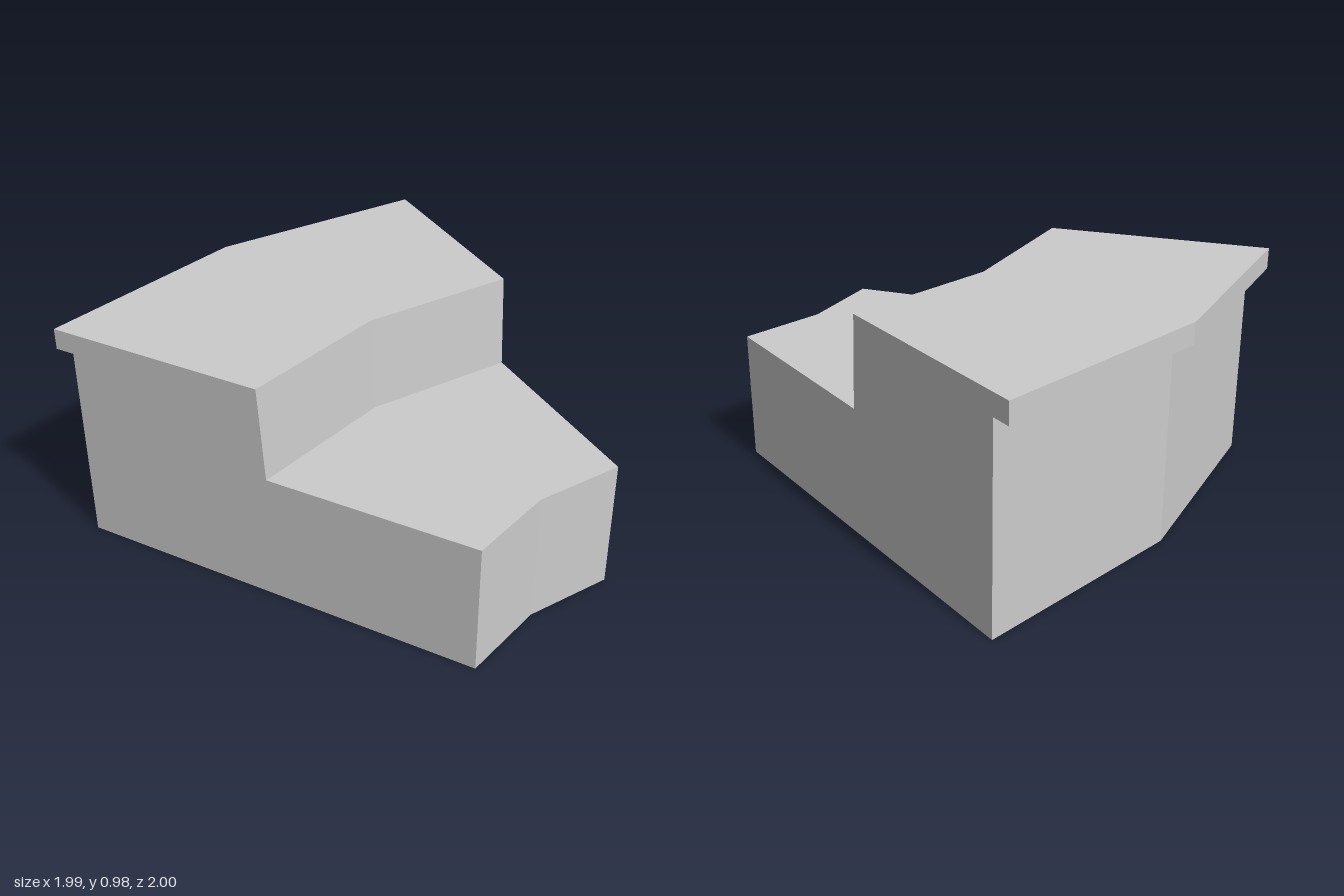
import * as THREE from 'three';

// Step profile as (radius, height), swept around a vertical axis in front of the model
const PROFILE = [
  [1.278, 0], [3.128, 0], [3.128, 0.883], [3.215, 0.883],
  [3.215, 0.975], [2.234, 0.975], [2.208, 0.568], [1.278, 0.574],
].map(([r, y]) => new THREE.Vector2(r, y));
const AXIS_Z = 2.215;
const HALF_ANGLE = THREE.MathUtils.degToRad(18);

export function createModel() {
  const group = new THREE.Group();
  group.name = 'curvedSteps';
  const material = new THREE.MeshStandardMaterial({ color: 0xcccccc, flatShading: true });

  const add = (name, geometry) => {
    geometry.translate(0, 0, AXIS_Z);
    const mesh = new THREE.Mesh(geometry, material);
    mesh.name = name;
    group.add(mesh);
  };

  // Treads, risers, overhanging lip, back and underside in two facets
  add('stepBody', new THREE.LatheGeometry(
    [...PROFILE, PROFILE[0].clone()], 2, Math.PI - HALF_ANGLE, 2 * HALF_ANGLE));

  // Flat end walls closing the sweep
  for (const side of [1, -1]) {
    const wall = new THREE.ShapeGeometry(new THREE.Shape(PROFILE));
    if (side < 0) wall.setIndex(Array.from(wall.index.array).reverse());
    wall.rotateY(Math.PI / 2 - side * HALF_ANGLE);
    add(side > 0 ? 'leftEndWall' : 'rightEndWall', wall);
  }
  return group;
}
